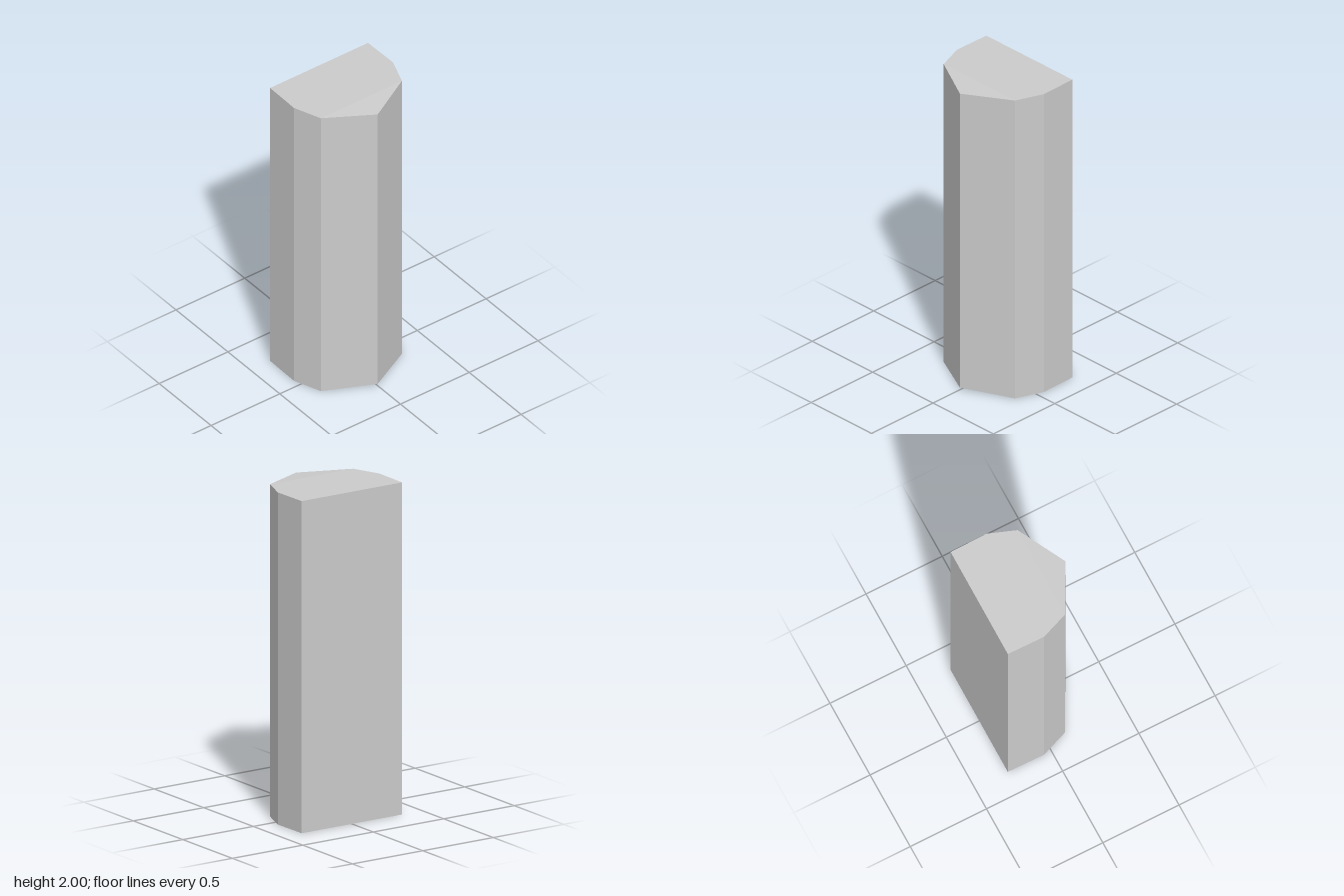
import * as THREE from 'three';
import { ConvexGeometry } from 'three/addons/geometries/ConvexGeometry.js';

export function createModel() {
  const group = new THREE.Group();
  group.name = 'facetedColumn';

  // Right half of the plan outline, from back to front: x, z
  const half = [[0.356, -0.284], [0.36, -0.049], [0.295, 0.123]];
  const points = [];
  for (const [x, z] of half) {
    for (const side of [-1, 1]) {
      for (const y of [0, 2]) points.push(new THREE.Vector3(side * x, y, z));
    }
  }
  // Front ridge, slightly shorter so both end caps slope towards it
  points.push(new THREE.Vector3(0, 0.014, 0.281), new THREE.Vector3(0, 1.988, 0.281));

  const column = new THREE.Mesh(
    new ConvexGeometry(points),
    new THREE.MeshStandardMaterial({ color: 0xcccccc, flatShading: true })
  );
  column.name = 'column';
  group.add(column);
  return group;
}
